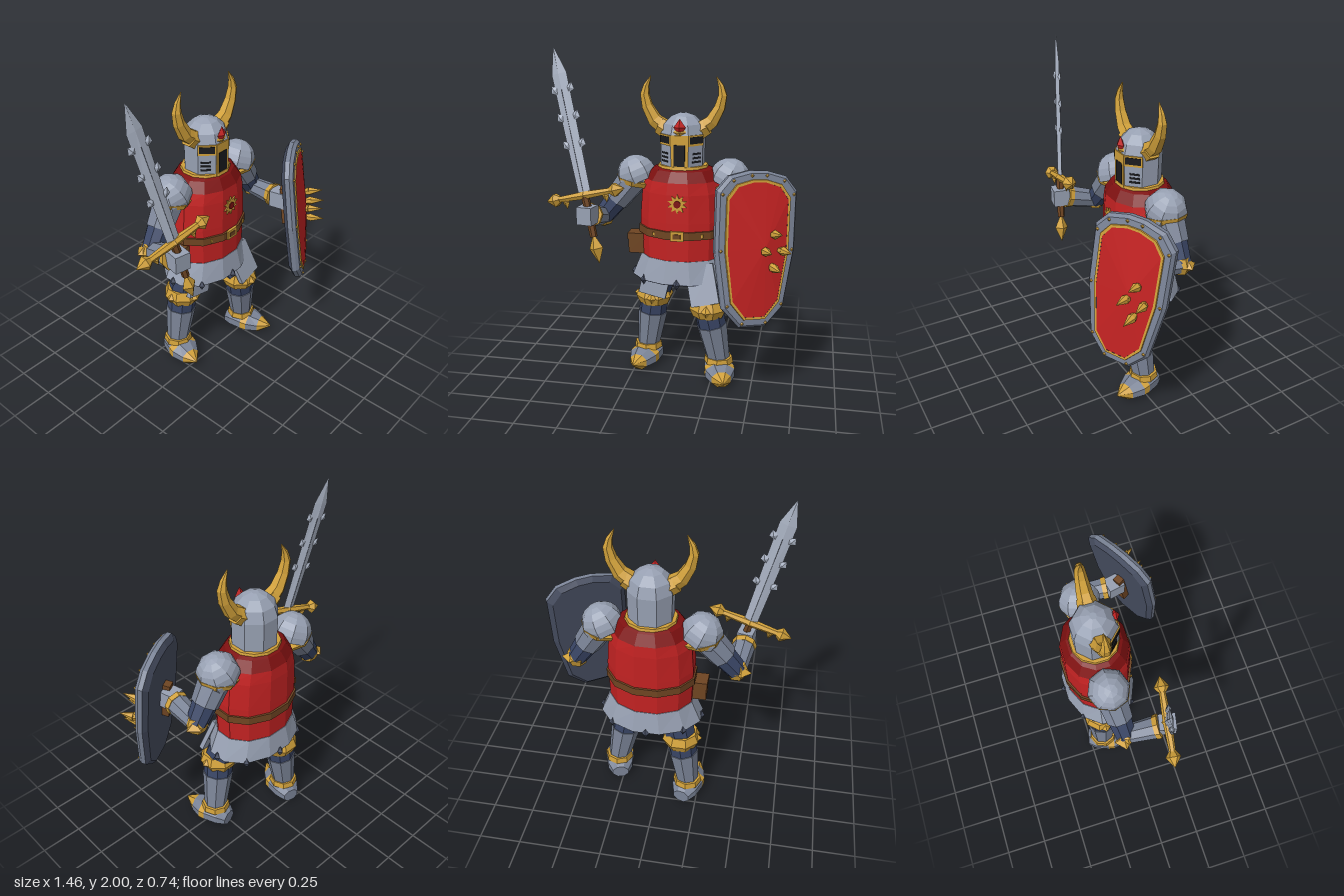
import * as THREE from 'three';

const V = (x, y, z) => new THREE.Vector3(x, y, z);
const paint = (name, color) => Object.assign(new THREE.MeshStandardMaterial({ color }), { name });

// Flat facets for every part
function flat(geo) {
  const g = geo.index ? geo.toNonIndexed() : geo;
  g.computeVertexNormals();
  return g;
}
// Skin between rings that run counter-clockwise about the direction of travel
function loft(rings, caps = true) {
  const pos = [], n = rings[0].length;
  const tri = (...p) => p.forEach(v => pos.push(v.x, v.y, v.z));
  for (let i = 0; i + 1 < rings.length; i++) for (let j = 0; j < n; j++) {
    const k = (j + 1) % n, a = rings[i], b = rings[i + 1];
    tri(a[j], a[k], b[k]);
    tri(a[j], b[k], b[j]);
  }
  if (caps) for (let j = 1; j + 1 < n; j++) {
    const a = rings[0], b = rings[rings.length - 1];
    tri(a[0], a[j + 1], a[j]);
    tri(b[0], b[j], b[j + 1]);
  }
  return new THREE.BufferGeometry().setAttribute('position', new THREE.Float32BufferAttribute(pos, 3));
}
// Horizontal oval ring with a flat front
const oval = (n, cx, cz) => ([y, rx, rz = rx]) => Array.from({ length: n }, (_, j) => {
  const t = (j + 0.5) / n * Math.PI * 2;
  return V(cx + rx * Math.sin(t), y, cz + rz * Math.cos(t));
});

export function createModel() {
  const steel = paint('steel', 0x98a1b3), iron = paint('iron', 0x7b8497), slate = paint('slate', 0x474e61);
  const chain = paint('chain blue', 0x3a4666), gold = paint('gold', 0xd0a03a), red = paint('red', 0xc32222);
  const maroon = paint('maroon', 0x7e1010), brown = paint('leather', 0x6f4522), black = paint('black', 0x1a1b1e);
  const bladeSteel = paint('blade steel', 0xaeb7c8);
  const model = new THREE.Group();
  model.name = 'knight';
  const CX = 0.045, CZ = -0.115;

  const group = (name, x = 0, y = 0, z = 0) => {
    const g = new THREE.Group();
    g.name = name;
    g.position.set(x, y, z);
    model.add(g);
    return g;
  };
  const add = (parent, name, geo, mat, x = 0, y = 0, z = 0) => {
    const m = new THREE.Mesh(flat(geo), mat);
    m.name = name;
    m.position.set(x, y, z);
    parent.add(m);
    return m;
  };
  const box = (parent, name, mat, w, h, d, x, y, z) => add(parent, name, new THREE.BoxGeometry(w, h, d), mat, x, y, z);
  const gem = (parent, name, mat, rx, ry, rz, x, y, z) => {
    const m = add(parent, name, new THREE.OctahedronGeometry(1), mat, x, y, z);
    m.scale.set(rx, ry, rz);
    return m;
  };
  const limb = (parent, name, mat, a, b, r0, r1, sides = 8) => {
    const d = b.clone().sub(a), mid = a.clone().add(b).multiplyScalar(0.5);
    const m = add(parent, name, new THREE.CylinderGeometry(r1, r0, d.length(), sides), mat, mid.x, mid.y, mid.z);
    m.quaternion.setFromUnitVectors(V(0, 1, 0), d.normalize());
    return m;
  };
  const part = (a, b, t) => a.clone().lerp(b, t);

  // Torso, belt and skirt
  const body = group('body');
  const shell = (name, mat, rings) => add(body, name, loft(rings.map(oval(12, CX, CZ))), mat);
  shell('tunic', red, [[0.77, 0.252, 0.198], [1.0, 0.26, 0.2], [1.17, 0.247, 0.2], [1.24, 0.227, 0.195]]);
  shell('yoke', maroon, [[1.24, 0.227, 0.195], [1.3, 0.183, 0.158], [1.315, 0.14, 0.13]]);
  shell('collar', gold, [[1.3, 0.155, 0.145], [1.325, 0.148, 0.14]]);
  shell('belt', brown, [[0.905, 0.268, 0.212], [0.953, 0.268, 0.212]]);
  shell('skirt', steel, [[0.632, 0.312, 0.224], [0.77, 0.255, 0.201]]);
  shell('skirtLining', slate, [[0.625, 0.306, 0.218], [0.632, 0.306, 0.218]]);
  for (let i = 0; i < 8; i++) {
    const t = i * Math.PI / 4;
    gem(body, 'skirtSpike', slate, 0.022, 0.034, 0.022, CX + 0.3 * Math.sin(t), 0.632, CZ + 0.22 * Math.cos(t));
  }
  box(body, 'buckle', gold, 0.08, 0.058, 0.014, CX, 0.929, 0.092);
  box(body, 'buckleCentre', brown, 0.045, 0.028, 0.006, CX, 0.929, 0.1);
  for (const s of [-1, 1]) box(body, 'beltStud', gold, 0.012, 0.02, 0.008, CX + s * 0.145, 0.929, 0.06);
  box(body, 'pouch', brown, 0.1, 0.11, 0.09, -0.23, 0.825, -0.09);
  box(body, 'pouchFlap', brown, 0.11, 0.04, 0.1, -0.23, 0.875, -0.09);

  // Sunburst on the chest
  const star = new THREE.Shape(Array.from({ length: 20 }, (_, i) => {
    const r = i % 2 ? 0.034 : 0.058, t = i * Math.PI / 10;
    return new THREE.Vector2(r * Math.sin(t), r * Math.cos(t));
  }));
  add(body, 'sunburst', new THREE.ExtrudeGeometry(star, { depth: 0.009, bevelEnabled: false }), gold, CX, 1.12, 0.077);
  add(body, 'sunburstCentre', new THREE.CylinderGeometry(0.022, 0.022, 0.008, 8).rotateX(Math.PI / 2), maroon, CX, 1.12, 0.088);

  // Helmet
  const head = group('helmet', CX, 0, -0.11);
  add(head, 'helm', loft([[1.29, 0.132], [1.5, 0.136], [1.565, 0.115], [1.61, 0.07], [1.628, 0.02]].map(oval(8, 0, 0))), steel);
  for (const s of [-1, 0, 1]) {
    const facet = new THREE.Group();
    facet.name = 'visorFacet';
    facet.rotation.y = s * Math.PI / 4;
    head.add(facet);
    box(facet, 'browBand', gold, 0.106, 0.062, 0.012, 0, 1.478, 0.124);
    if (s) {
      box(facet, 'eyeSlit', black, 0.09, 0.04, 0.006, 0, 1.48, 0.13);
      for (const y of [1.4, 1.376, 1.352]) box(facet, 'breathSlit', black, 0.06, 0.011, 0.006, s * 0.008, y, 0.124);
    } else {
      box(facet, 'faceFrame', gold, 0.1, 0.15, 0.012, 0, 1.38, 0.122);
      box(facet, 'faceSlit', black, 0.064, 0.125, 0.006, 0, 1.392, 0.129);
    }
  }
  gem(head, 'browMount', gold, 0.045, 0.035, 0.02, 0, 1.525, 0.115);
  gem(head, 'browGem', red, 0.036, 0.05, 0.022, 0, 1.555, 0.12);

  // Horns
  const hornR = [0.052, 0.044, 0.035, 0.028, 0.018, 0.003];
  for (const s of [-1, 1]) {
    const path = [[0.1, 1.53], [0.17, 1.58], [0.214, 1.66], [0.23, 1.73], [0.22, 1.78], [0.193, 1.835]].map(([x, y]) => V(s * x, y, 0));
    const curve = new THREE.CatmullRomCurve3(path);
    const rings = path.map((p, i) => {
      const T = curve.getTangent(i / (path.length - 1));
      return Array.from({ length: 6 }, (_, j) => {
        const a = j / 6 * Math.PI * 2, c = hornR[i] * Math.cos(a), q = hornR[i] * Math.sin(a);
        return V(p.x + q * T.y, p.y - q * T.x, c);
      });
    });
    add(head, 'horn', loft(rings), gold);
    limb(head, 'hornBase', gold, V(s * 0.09, 1.52, 0), V(s * 0.145, 1.55, 0), 0.06, 0.052, 6);
  }

  // Arms
  const arms = [
    { s: -1, name: 'rightArm', sh: V(-0.24, 1.245, -0.12), el: V(-0.445, 0.985, -0.085), ha: V(-0.475, 1.05, 0.15) },
    { s: 1, name: 'leftArm', sh: V(0.325, 1.245, -0.12), el: V(0.49, 0.985, -0.12), ha: V(0.465, 1.0, 0.13) },
  ];
  for (const { s, name, sh, el, ha } of arms) {
    const arm = group(name);
    const cap = add(arm, 'pauldron', new THREE.SphereGeometry(0.122, 8, 6, 0, Math.PI * 2, 0, Math.PI * 0.6), steel, sh.x, sh.y, sh.z);
    cap.rotation.z = -s * 0.4;
    const down = V(-s * -0.2, -1, 0).normalize();
    limb(arm, 'pauldronTrim', gold, sh.clone().addScaledVector(down, 0.055), sh.clone().addScaledVector(down, 0.025), 0.108, 0.122);
    limb(arm, 'upperArmPlate', iron, sh, part(sh, el, 0.62), 0.095, 0.08);
    limb(arm, 'upperArm', chain, part(sh, el, 0.55), el, 0.074, 0.062);
    add(arm, 'elbow', new THREE.SphereGeometry(0.068, 6, 4), gold, el.x, el.y, el.z);
    gem(arm, 'elbowPoint', gold, 0.06, 0.04, 0.055, el.x + s * 0.03, el.y, el.z - 0.02);
    limb(arm, 'forearm', iron, el, part(el, ha, 0.78), 0.055, 0.068);
    limb(arm, 'cuff', gold, part(el, ha, 0.7), part(el, ha, 0.82), 0.07, 0.074);
    box(arm, 'fist', steel, 0.095, 0.105, 0.1, ha.x, ha.y, ha.z).rotation.y = s * 0.2;
  }

  // Legs
  const bootRings = [[-0.1, 0.05, 0.085], [-0.05, 0.08, 0.12], [0.035, 0.092, 0.125], [0.075, 0.09, 0.118], [0.145, 0.058, 0.098], [0.22, 0.004, 0.065]];
  const bootRing = ([z, w, h]) => Array.from({ length: 8 }, (_, j) => {
    const t = (j + 0.5) * Math.PI / 4, base = z > 0.2 ? 0.055 : 0;
    return V(w * Math.cos(t) / 0.924, base + (h - base) * (0.5 + Math.sin(t) / 1.848), z);
  });
  const legs = [
    { s: -1, name: 'rightLeg', hip: V(-0.08, 0.72, -0.12), knee: V(-0.14, 0.47, -0.15), ankle: V(-0.185, 0.12, -0.16) },
    { s: 1, name: 'leftLeg', hip: V(0.17, 0.72, -0.09), knee: V(0.225, 0.47, 0.01), ankle: V(0.29, 0.12, -0.02) },
  ];
  for (const { s, name, hip, knee, ankle } of legs) {
    const leg = group(name);
    limb(leg, 'thigh', chain, hip, knee, 0.115, 0.092);
    const plate = box(leg, 'thighPlate', steel, 0.17, 0.24, 0.03, (hip.x + knee.x) / 2 - s * 0.005, 0.625, (hip.z + knee.z) / 2 + 0.1);
    plate.rotation.set(s > 0 ? -0.3 : -0.05, 0, s * 0.22);
    add(leg, 'kneeGuard', loft([[0.42, 0.095], [0.47, 0.118], [0.522, 0.098]].map(oval(8, knee.x, knee.z))), gold);
    gem(leg, 'kneePoint', gold, 0.07, 0.055, 0.05, knee.x, 0.472, knee.z + 0.08);
    gem(leg, 'kneeWing', gold, 0.05, 0.05, 0.06, knee.x + s * 0.08, 0.472, knee.z);
    limb(leg, 'calfMail', chain, part(knee, ankle, 0.4), part(knee, ankle, 0.1), 0.088, 0.09);
    limb(leg, 'greave', iron, ankle, part(knee, ankle, 0.32), 0.07, 0.094);
    limb(leg, 'ankleBand', gold, V(ankle.x, 0.105, ankle.z), V(ankle.x, 0.142, ankle.z), 0.09, 0.084);
    const boot = new THREE.Group();
    boot.name = 'boot';
    boot.position.set(ankle.x, 0, ankle.z);
    boot.rotation.y = s * 0.25;
    leg.add(boot);
    const bootPart = (n, mat, a, b) => add(boot, n, loft(bootRings.slice(a, b + 1).map(bootRing)), mat);
    bootPart('bootHeel', iron, 0, 2);
    bootPart('bootBand', gold, 2, 3);
    bootPart('bootInstep', iron, 3, 4);
    bootPart('bootToe', gold, 4, 5);
  }

  // Shield
  const shield = group('shield', 0.505, 0.92, 0.22);
  shield.rotation.set(-0.14, 0.51, 0);
  const half = [[0.08, -0.44], [0.185, -0.33], [0.24, 0], [0.24, 0.33], [0.17, 0.41], [0.05, 0.44]];
  const outline = [...half, ...half.map(([x, y]) => [-x, y]).reverse()];
  const rim = ([inset, z]) => outline.map(([x, y]) => V(x * (1 - inset / 0.24), y * (1 - inset / 0.44), z));
  add(shield, 'shieldBack', loft([[0.03, -0.035], [0, -0.012]].map(rim)), slate);
  add(shield, 'shieldRim', loft([[0, -0.012], [0, 0.015], [0.015, 0.035], [0.05, 0.038]].map(rim), false), iron);
  add(shield, 'shieldTrim', loft([[0.047, 0.034], [0.05, 0.045], [0.064, 0.045]].map(rim), false), gold);
  const apex = outline.map(() => V(0.04, 0.02, 0.07));
  add(shield, 'shieldFace', loft([rim([0.064, 0.044]), apex], false), red);
  rim([0.027, 0.038]).forEach(p => gem(shield, 'shieldStud', gold, 0.011, 0.011, 0.011, p.x, p.y, p.z));
  for (const [x, y] of [[0.045, 0], [-0.045, 0], [0, 0.085], [0, -0.085]]) {
    const from = V(0.085 + x, y, 0.05);
    limb(shield, 'shieldSpike', gold, from, from.clone().add(V(x * 0.2, y * 0.1, 0.035)), 0.016, 0.027, 6);
    limb(shield, 'shieldSpikeTip', gold, from.clone().add(V(x * 0.2, y * 0.1, 0.035)), from.clone().add(V(x * 0.3, y * 0.2, 0.12)), 0.027, 0.001, 6);
  }
  box(shield, 'shieldHandle', brown, 0.05, 0.24, 0.045, -0.02, 0.05, -0.055);

  // Sword, built upright around its guard
  const sword = group('sword', -0.49, 1.165, 0.14);
  const up = V(-0.19, 0.835, -0.095).normalize();
  const out = V(0.49, 0.1, 0.07).cross(up).normalize();
  sword.quaternion.setFromRotationMatrix(new THREE.Matrix4().makeBasis(up.clone().cross(out), up, out));
  const diamond = ([y, w, t]) => [V(0, y, t), V(w, y, 0), V(0, y, -t), V(-w, y, 0)];
  add(sword, 'blade', loft([[0.01, 0.04, 0.014], [0.4, 0.046, 0.013], [0.71, 0.048, 0.01], [0.862, 0.002, 0.002]].map(diamond)), bladeSteel);
  add(sword, 'fuller', loft([[0.03, 0.005, 0.0155], [0.62, 0.005, 0.0135]].map(diamond)), slate);
  for (const s of [-1, 1]) {
    for (const y of [0.3, 0.46, 0.62]) {
      const barb = gem(sword, 'bladeBarb', bladeSteel, 0.028, 0.034, 0.011, s * 0.05, y, 0);
      barb.rotation.z = -s * 0.5;
    }
    limb(sword, 'guardArm', gold, V(0, 0, 0), V(s * 0.19, 0, 0), 0.026, 0.018, 6);
    limb(sword, 'guardCollar', gold, V(s * 0.165, 0, 0), V(s * 0.195, 0, 0), 0.022, 0.044, 6);
    limb(sword, 'guardPoint', gold, V(s * 0.195, 0, 0), V(s * 0.255, 0, 0), 0.044, 0.002, 6);
    gem(sword, 'guardDrop', gold, 0.022, 0.04, 0.018, s * 0.13, -0.025, 0);
  }
  gem(sword, 'guardCentre', gold, 0.055, 0.04, 0.032, 0, 0, 0);
  limb(sword, 'grip', brown, V(0, -0.25, 0), V(0, 0, 0), 0.022, 0.024, 6);
  gem(sword, 'pommel', gold, 0.045, 0.092, 0.04, 0, -0.32, 0);

  return model;
}
